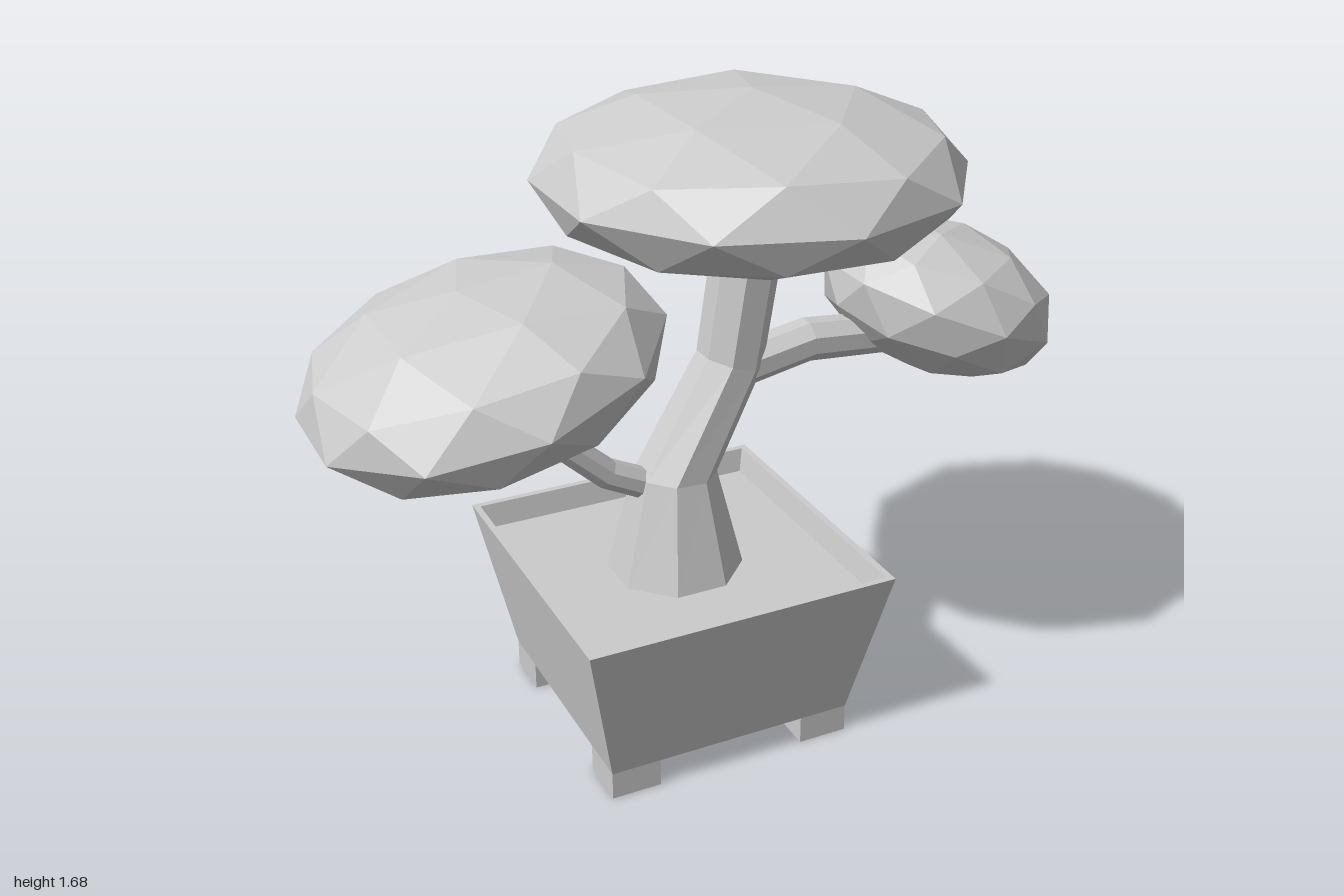
import * as THREE from 'three';

const material = new THREE.MeshStandardMaterial({ color: 0xcccccc, flatShading: true });

function addMesh(parent, name, geometry) {
  const mesh = new THREE.Mesh(geometry, material);
  mesh.name = name;
  parent.add(mesh);
  return mesh;
}

// Eight-sided limb lying in the xy plane; each ring is [x, y, radius, lean from vertical].
function limb(rings, sides = 8) {
  const pos = [], index = [];
  for (const [x, y, r, lean] of rings) {
    for (let j = 0; j < sides; j++) {
      const t = ((j + 0.5) / sides) * Math.PI * 2;
      const u = r * Math.cos(t);
      pos.push(x + u * Math.cos(lean), y - u * Math.sin(lean), r * Math.sin(t));
    }
  }
  for (let i = 0; i < rings.length - 1; i++) {
    for (let j = 0; j < sides; j++) {
      const a = i * sides + j, b = i * sides + ((j + 1) % sides);
      index.push(a, a + sides, b, b, a + sides, b + sides);
    }
  }
  // End caps
  const last = (rings.length - 1) * sides;
  for (let j = 1; j < sides - 1; j++) {
    index.push(0, j, j + 1, last, last + j + 1, last + j);
  }
  const geometry = new THREE.BufferGeometry();
  geometry.setAttribute('position', new THREE.Float32BufferAttribute(pos, 3));
  geometry.setIndex(index);
  geometry.computeVertexNormals();
  return geometry;
}

// Flattened faceted ball with a vertex at its pole
function foliage(radius, height) {
  const geometry = new THREE.IcosahedronGeometry(1, 1);
  geometry.rotateX(-Math.atan((1 + Math.sqrt(5)) / 2));
  geometry.rotateY(Math.PI / 2);
  geometry.scale(radius, height, radius);
  return geometry;
}

export function createModel() {
  const model = new THREE.Group();
  model.name = 'bonsaiTree';

  // Tapered square pot with a thin rim, soil and four feet
  const pot = new THREE.Group();
  pot.name = 'pot';
  pot.position.x = -0.077;
  model.add(pot);
  const profile = [[0, 0.075], [0.335, 0.075], [0.418, 0.49], [0.4, 0.49], [0.387, 0.425]]
    .map(([half, y]) => new THREE.Vector2(half * Math.SQRT2, y));
  addMesh(pot, 'potBody', new THREE.LatheGeometry(profile, 4, Math.PI / 4));
  addMesh(pot, 'soil', new THREE.PlaneGeometry(0.774, 0.774).rotateX(-Math.PI / 2))
    .position.y = 0.425;
  for (const sx of [-1, 1]) {
    for (const sz of [-1, 1]) {
      addMesh(pot, 'foot', new THREE.BoxGeometry(0.133, 0.075, 0.133))
        .position.set(sx * 0.2685, 0.0375, sz * 0.2685);
    }
  }

  // Bent trunk and its two side branches
  addMesh(model, 'trunk', limb([
    [-0.08, 0.42, 0.18, 0],
    [-0.077, 0.7, 0.108, 0.05],
    [0.078, 0.985, 0.088, 0.3],
    [0.137, 1.36, 0.09, 0.14],
  ]));
  addMesh(model, 'rightBranch', limb([
    [-0.08, 0.64, 0.042, -1.1],
    [-0.27, 0.735, 0.04, -0.95],
    [-0.56, 1.0, 0.036, -0.83],
  ]));
  addMesh(model, 'leftBranch', limb([
    [0.08, 0.955, 0.058, 1.4],
    [0.3, 0.995, 0.057, 1.53],
    [0.58, 0.97, 0.055, 1.66],
  ]));

  // Leaf pads: name, centre x and y, radius, half height, tilt
  const pads = [
    ['topFoliage', 0.132, 1.472, 0.542, 0.206, 0],
    ['rightFoliage', -0.58, 1.092, 0.455, 0.205, 0.25],
    ['leftFoliage', 0.692, 1.05, 0.325, 0.203, -0.38],
  ];
  for (const [name, x, y, radius, height, tilt] of pads) {
    const pad = addMesh(model, name, foliage(radius, height));
    pad.position.set(x, y, 0);
    pad.rotation.z = tilt;
  }
  return model;
}
